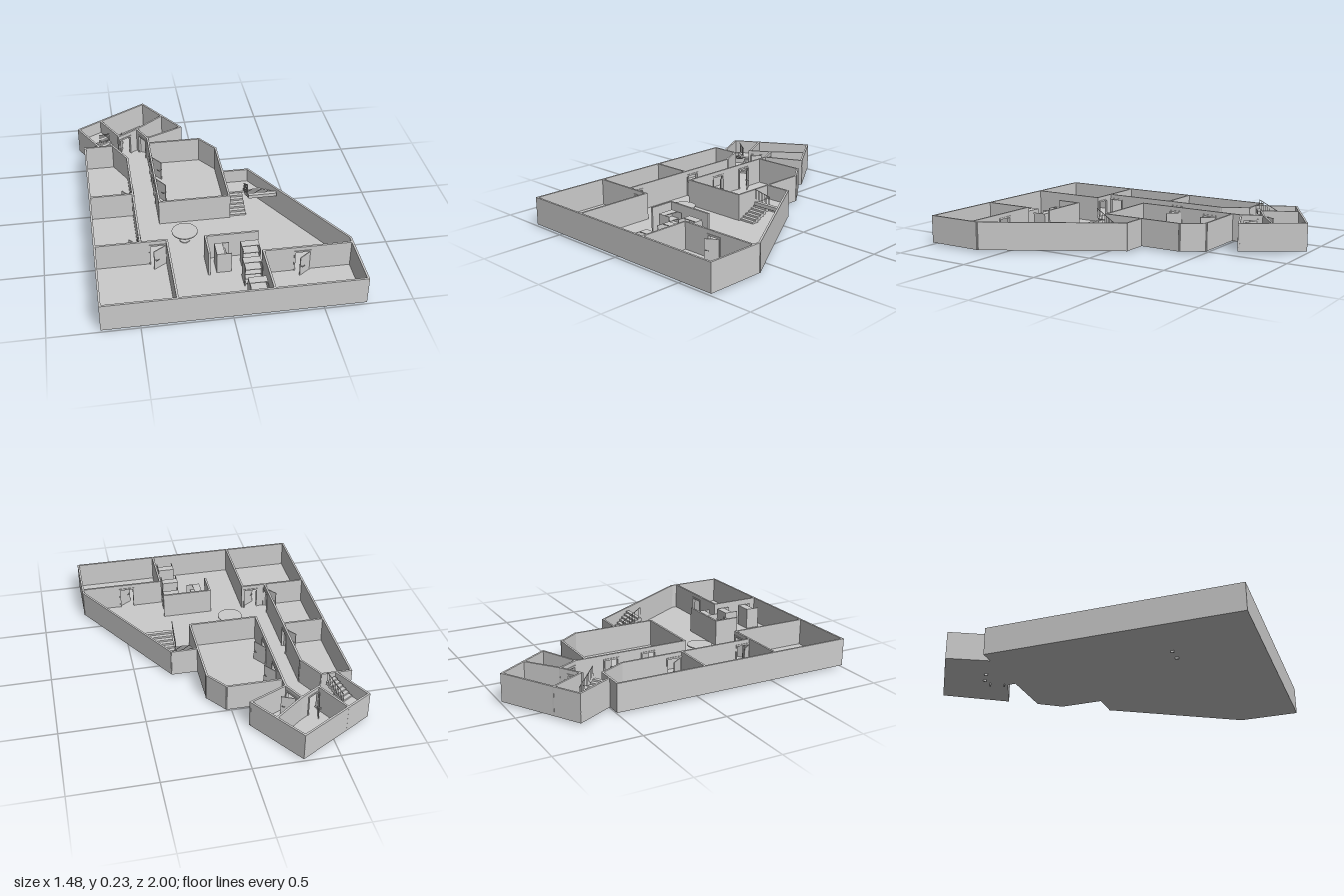
import * as THREE from 'three';

const BASE = 0.012, FLOOR = 0.018, TOP = 0.18, LINTEL = 0.15, T = 0.012;
const mat = new THREE.MeshStandardMaterial({ color: 0xcccccc, flatShading: true });

function add(parent, name, geo, x = 0, y = 0, z = 0) {
  const m = new THREE.Mesh(geo, mat);
  m.name = name;
  m.position.set(x, y, z);
  parent.add(m);
  return m;
}

// Box given by its lower and upper corners
function box(parent, name, x0, x1, y0, y1, z0, z1) {
  return add(parent, name, new THREE.BoxGeometry(x1 - x0, y1 - y0, z1 - z0),
    (x0 + x1) / 2, (y0 + y1) / 2, (z0 + z1) / 2);
}

// Flat slab from an [x, z] outline, with its upper side at height top
function slab(parent, name, outline, top, depth) {
  const shape = new THREE.Shape(outline.map(([x, z]) => new THREE.Vector2(x, z)));
  const geo = new THREE.ExtrudeGeometry(shape, { depth, bevelEnabled: false });
  geo.rotateX(Math.PI / 2);
  return add(parent, name, geo, 0, top, 0);
}

// Group whose local x axis runs from a to b on the plan
function along(parent, name, a, b) {
  const g = new THREE.Group();
  g.name = name;
  g.position.set(a[0], 0, a[1]);
  g.rotation.y = Math.atan2(a[1] - b[1], b[0] - a[0]);
  parent.add(g);
  return g;
}

// Straight wall with framed door openings [start, end, frameBottom]
function wall(parent, name, a, b, doors = []) {
  const g = along(parent, name, a, b);
  const len = Math.hypot(b[0] - a[0], b[1] - a[1]), h = T / 2;
  let s = -h;
  for (const [d0, d1, bottom = BASE] of doors) {
    if (d0 > s) box(g, 'wallPanel', s, d0, BASE, TOP, -h, h);
    box(g, 'doorLintel', d0, d1, LINTEL, TOP, -h, h);
    for (const d of [d0, d1]) box(g, 'doorJamb', d - 0.004, d + 0.004, bottom, LINTEL + 0.006, -0.01, 0.01);
    box(g, 'doorHead', d0, d1, LINTEL - 0.004, LINTEL + 0.006, -0.01, 0.01);
    s = d1;
  }
  if (len + h > s) box(g, 'wallPanel', s, len + h, BASE, TOP, -h, h);
}

// Door leaf standing ajar, with a lever on both sides
function doorLeaf(parent, hinge, free) {
  const g = along(parent, 'doorLeaf', hinge, free);
  const len = Math.hypot(free[0] - hinge[0], free[1] - hinge[1]);
  box(g, 'leaf', 0, len, FLOOR, LINTEL - 0.004, -0.0025, 0.0025);
  box(g, 'handleSpindle', len - 0.012, len - 0.008, 0.08, 0.084, -0.012, 0.012);
  for (const side of [-1, 1])
    box(g, 'handleLever', len - 0.028, len - 0.008, 0.08, 0.084, side * 0.012 - 0.0015, side * 0.012 + 0.0015);
}

// Two-flight stair with a landing at low z; each flight is [x0, x1(z)]
function stair(parent, lower, upper, z0, z1, landing) {
  const n = 6, run = (z1 - z0) / n, mid = 0.095, rise = (mid - FLOOR) / (n + 1);
  slab(parent, 'landing', landing, mid, 0.01);
  for (let i = 0; i < n; i++) {
    const zA = z1 - (i + 1) * run, yA = FLOOR + (i + 1) * rise;
    box(parent, 'lowerStep', lower[0], lower[1](zA), Math.max(FLOOR, yA - 2 * rise), yA, zA, zA + run);
    const zB = z0 + i * run, yB = mid + (i + 1) * rise;
    box(parent, 'upperStep', upper[0], upper[1](zB), yB - 2 * rise, yB, zB, zB + run);
  }
  // Sloped balustrade beside the upper flight
  const x = upper[0] < lower[0] ? upper[1](z0) + 0.004 : upper[0] - 0.005;
  const zEnd = z1 - 0.012, slope = (0.235 - 0.155) / (zEnd - z0);
  const rail = add(parent, 'handrail',
    new THREE.BoxGeometry(0.003, 0.004, Math.hypot(zEnd - z0, 0.08)), x, 0.193, (z0 + zEnd) / 2);
  rail.rotation.x = -Math.atan(slope);
  for (let i = 0; i <= 10; i++) {
    const z = z0 + (zEnd - z0) * i / 10, y = 0.155 + slope * (z - z0);
    box(parent, 'baluster', x - 0.001, x + 0.001, y - 0.06, y, z - 0.001, z + 0.001);
  }
}

// Open shelf unit, centred on its plan position
function shelfUnit(parent, x, z, w, d, turn) {
  const g = new THREE.Group();
  g.name = 'shelfUnit';
  g.position.set(x, 0, z);
  g.rotation.y = turn;
  const h = 0.15;
  for (const s of [-1, 1])
    box(g, 'sidePanel', s * w / 2 - 0.002, s * w / 2 + 0.002, FLOOR, h, -d / 2, d / 2);
  box(g, 'backPanel', -w / 2, w / 2, FLOOR, h, -d / 2, -d / 2 + 0.004);
  box(g, 'topPanel', -w / 2, w / 2, h - 0.004, h, -d / 2, d * 0.05);
  for (let i = 0; i < 4; i++) {
    const y = 0.03 + i * 0.026;
    box(g, 'shelf', -w / 2, w / 2, y, y + 0.004, -d / 2, d / 2 - i * 0.008);
  }
  parent.add(g);
}

export function createModel() {
  const model = new THREE.Group();
  model.name = 'floorPlan';

  // Floor and outer walls
  const outline = [[-0.708, 0.993], [0.73, 0.993], [0.73, 0.64], [0.28, -0.11], [0.12, -0.11],
    [0.12, -0.375], [0.03, -0.5], [-0.3, -0.5], [-0.3, -0.56], [-0.072, -0.662], [-0.29, -0.99],
    [-0.737, -0.728], [-0.62, -0.505], [-0.708, -0.5]];
  slab(model, 'floor', outline, FLOOR, FLOOR - BASE);
  outline.forEach((p, i) => {
    // the short side by the rear stair has no wall of its own
    if (i !== 12) wall(model, 'outerWall', p, outline[(i + 1) % outline.length]);
  });

  // Left row of rooms
  wall(model, 'roomBackWall', [-0.708, -0.5], [-0.53, -0.5]);
  wall(model, 'cornerWall', [-0.53, -0.5], [-0.45, -0.345]);
  wall(model, 'corridorLeftWall', [-0.45, -0.345], [-0.45, 0.505], [[0.285, 0.375], [0.755, 0.843]]);
  wall(model, 'roomDivider', [-0.708, 0.04], [-0.45, 0.04]);
  wall(model, 'roomDivider', [-0.708, 0.505], [-0.3, 0.505], [[0.31, 0.398, 0]]);
  wall(model, 'frontLeftWall', [-0.3, 0.505], [-0.3, 0.993]);

  // Central room
  wall(model, 'corridorRightWall', [-0.3, -0.5], [-0.3, 0.145], [[0.115, 0.205], [0.355, 0.445]]);
  wall(model, 'centralFrontWall', [-0.3, 0.145], [0.12, 0.145]);
  wall(model, 'centralSideWall', [0.12, 0.145], [0.12, -0.11]);

  // Front right room and service partition
  wall(model, 'frontRightSideWall', [0.22, 0.68], [0.22, 0.993]);
  wall(model, 'frontRightBackWall', [0.22, 0.68], [0.73, 0.68], [[0.18, 0.27]]);
  wall(model, 'partitionSide', [-0.08, 0.65], [-0.08, 0.505]);
  wall(model, 'partitionBack', [-0.08, 0.505], [0.22, 0.505]);

  // Angled rear block
  wall(model, 'stairWall', [-0.59, -0.815], [-0.485, -0.615]);
  wall(model, 'rearRoomWall', [-0.485, -0.605], [-0.36, -0.68], [[0.005, 0.09, 0]]);
  wall(model, 'rearDivider', [-0.36, -0.68], [-0.18, -0.82]);
  wall(model, 'rearCorridorWall', [-0.36, -0.68], [-0.3, -0.56], [[0.035, 0.12, 0]]);

  // Doors: hinge point, free edge
  [[[-0.485, -0.61], [-0.46, -0.7]], [[-0.34, -0.65], [-0.26, -0.612]],
    [[-0.295, -0.385], [-0.24, -0.31]], [[-0.295, -0.145], [-0.24, -0.065]],
    [[-0.455, 0.03], [-0.51, -0.045]], [[-0.455, 0.498], [-0.51, 0.43]],
    [[-0.31, 0.515], [-0.38, 0.56]], [[0.49, 0.685], [0.42, 0.735]],
  ].forEach(([hinge, free]) => doorLeaf(model, hinge, free));

  // Side stair beside the slanted wall
  const slant = z => 0.28 + (z + 0.11) * 0.6 - 0.005;
  const sideStair = new THREE.Group();
  sideStair.name = 'sideStair';
  model.add(sideStair);
  stair(sideStair, [0.126, () => 0.226], [0.24, slant], 0, 0.14,
    [[0.12, -0.11], [0.275, -0.11], [slant(0), 0], [0.12, 0]]);

  // Rear stair, turned with the angled block
  const rearStair = along(model, 'rearStair', [-0.737, -0.728], [-0.29, -0.99]);
  stair(rearStair, [0.092, () => 0.162], [0.008, () => 0.08], 0.11, 0.25,
    [[0.006, 0.006], [0.165, 0.006], [0.165, 0.11], [0.006, 0.11]]);

  // Round table
  const table = new THREE.Group();
  table.name = 'roundTable';
  table.position.set(-0.175, 0, 0.325);
  model.add(table);
  add(table, 'tableTop', new THREE.CylinderGeometry(0.076, 0.076, 0.006, 32), 0, 0.083, 0);
  add(table, 'tableLeg', new THREE.CylinderGeometry(0.008, 0.008, 0.064, 12), 0, 0.05, 0);
  add(table, 'tableFoot', new THREE.CylinderGeometry(0.03, 0.03, 0.006, 20), 0, 0.02, 0);

  // Shelf units
  shelfUnit(model, 0.007, 0.593, 0.095, 0.085, Math.PI / 2);
  shelfUnit(model, 0.165, 0.59, 0.098, 0.088, 0);
  shelfUnit(model, 0.15, 0.733, 0.098, 0.088, 0);
  shelfUnit(model, 0.15, 0.9, 0.098, 0.088, 0);

  return model;
}
